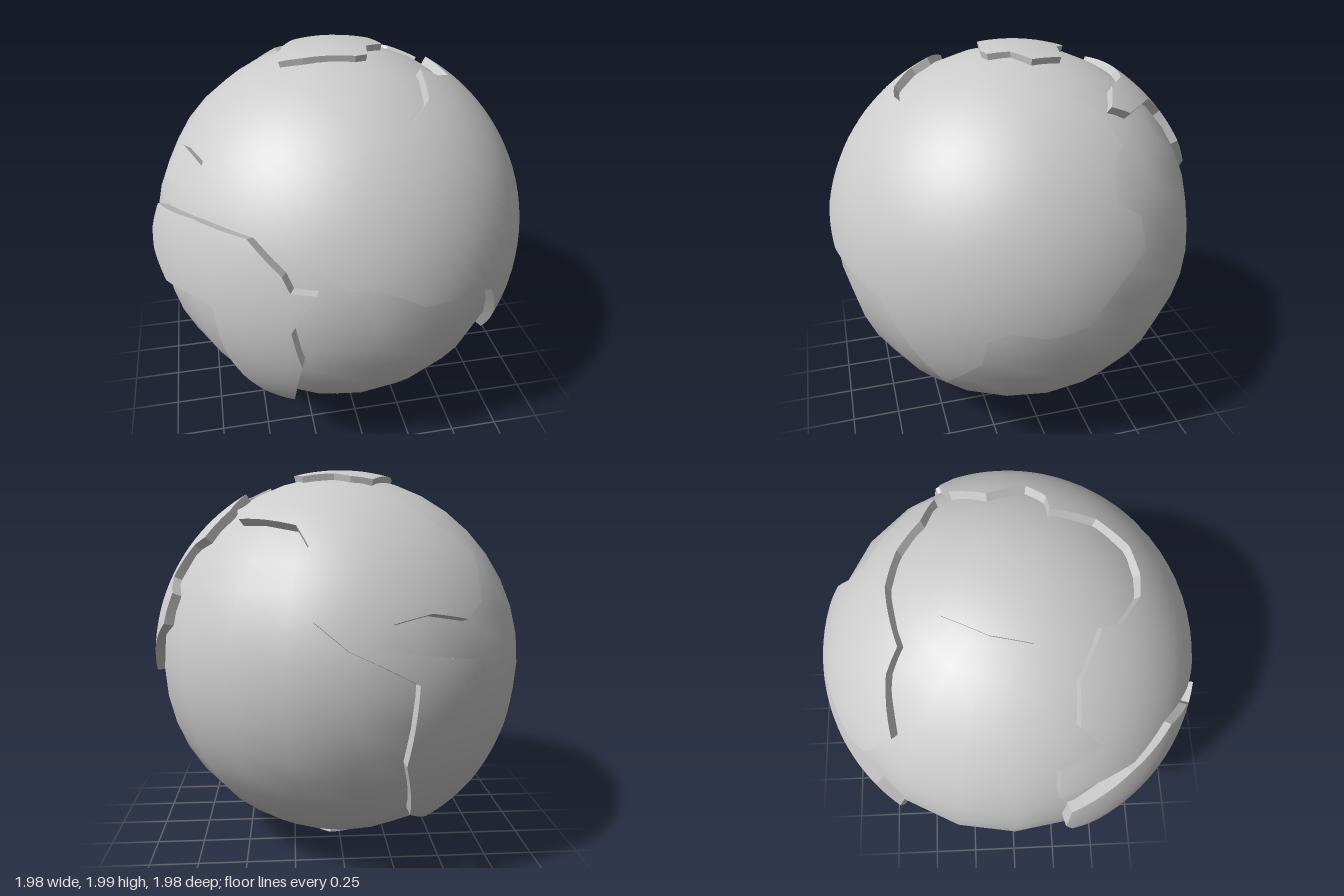
import * as THREE from 'three';
import { mergeGeometries } from 'three/addons/utils/BufferGeometryUtils.js';

const SEA = 0.967, STEPS = 14;
const CENTRE = new THREE.Vector3(-0.015, 0, 0); // globe centre, relative to (0, 1, 0)

// Unit-sphere points from [right, up] pairs on a plate of given radius, seen from an angle in degrees
function seen(azimuth, elevation, radius, pairs) {
  const a = THREE.MathUtils.degToRad(azimuth), e = THREE.MathUtils.degToRad(elevation);
  const right = new THREE.Vector3(Math.cos(a), 0, -Math.sin(a));
  const up = new THREE.Vector3(-Math.sin(a) * Math.sin(e), Math.cos(e), -Math.cos(a) * Math.sin(e));
  const toward = new THREE.Vector3().crossVectors(right, up);
  return pairs.map(([x, y]) => {
    const u = (x - CENTRE.dot(right)) / radius, v = (y - CENTRE.dot(up)) / radius;
    return new THREE.Vector3().addScaledVector(right, u).addScaledVector(up, v)
      .addScaledVector(toward, Math.sqrt(Math.max(0, 1 - u * u - v * v))).normalize();
  });
}
const front = (radius, pairs) => seen(0, 0, radius, pairs.map(([x, y]) => [x, y - 1]));
const side = (radius, pairs) => seen(90, 0, radius, pairs.map(([z, y]) => [-z, y - 1]));
const above = (radius, pairs) => seen(0, 90, radius, pairs.map(([x, z]) => [x, -z]));
const below = (radius, pairs) => seen(0, -90, radius, pairs);

// A raised plate: coastline triangulated in a stereographic plane, wrapped on the sphere, with walls
function landGeometry(coast, radius) {
  const c = coast.reduce((s, p) => s.add(p), new THREE.Vector3()).normalize();
  const e1 = new THREE.Vector3(0.3, 0.2, 1).cross(c).normalize();
  const e2 = new THREE.Vector3().crossVectors(c, e1);
  let ring = coast.map((p) => new THREE.Vector2(p.dot(e1), p.dot(e2)).divideScalar(1 + p.dot(c)));
  if (THREE.ShapeUtils.isClockWise(ring)) ring = ring.reverse();
  const wrap = (q) => {
    const s = q.lengthSq();
    return new THREE.Vector3().addScaledVector(e1, 2 * q.x).addScaledVector(e2, 2 * q.y)
      .addScaledVector(c, 1 - s).divideScalar(1 + s);
  };

  // Curved top
  const top = [], normals = [];
  const put = (p) => {
    normals.push(p.x, p.y, p.z);
    top.push(p.x * radius, p.y * radius, p.z * radius);
  };
  for (const [i, j, k] of THREE.ShapeUtils.triangulateShape(ring, [])) {
    const A = ring[i], B = ring[j].clone().sub(A), C = ring[k].clone().sub(A);
    const at = (m, n) => wrap(A.clone().addScaledVector(B, m / STEPS).addScaledVector(C, n / STEPS));
    for (let m = 0; m < STEPS; m++) {
      for (let n = 0; n < STEPS - m; n++) {
        [at(m, n), at(m + 1, n), at(m, n + 1)].forEach(put);
        if (m + n < STEPS - 1) [at(m + 1, n), at(m + 1, n + 1), at(m, n + 1)].forEach(put);
      }
    }
  }

  // Coast walls down into the sea
  const wall = [];
  ring.forEach((A, i) => {
    const B = ring[(i + 1) % ring.length];
    for (let s = 0; s < STEPS; s++) {
      const a = wrap(A.clone().lerp(B, s / STEPS)), b = wrap(A.clone().lerp(B, (s + 1) / STEPS));
      const lowA = a.clone().multiplyScalar(SEA - 0.03), lowB = b.clone().multiplyScalar(SEA - 0.03);
      a.multiplyScalar(radius);
      b.multiplyScalar(radius);
      for (const p of [lowA, lowB, b, lowA, b, a]) wall.push(p.x, p.y, p.z);
    }
  });

  const topGeometry = new THREE.BufferGeometry();
  topGeometry.setAttribute('position', new THREE.Float32BufferAttribute(top, 3));
  topGeometry.setAttribute('normal', new THREE.Float32BufferAttribute(normals, 3));
  const wallGeometry = new THREE.BufferGeometry();
  wallGeometry.setAttribute('position', new THREE.Float32BufferAttribute(wall, 3));
  wallGeometry.computeVertexNormals();
  return mergeGeometries([topGeometry, wallGeometry]);
}

// Large northern and eastern continent: north coast, east coast to the tip, south coast
function easternCoast(r) {
  const north = above(r, [[-0.87, 0.2], [-0.79, 0.2], [-0.71, 0.42], [-0.63, 0.29], [-0.46, 0.29],
    [-0.23, 0.4], [-0.2, 0.49], [-0.05, 0.6], [0.07, 0.615], [0.22, 0.58], [0.34, 0.43],
    [0.36, 0.21], [0.46, 0.2], [0.54, 0.11], [0.48, -0.08], [0.55, -0.26]]);
  const east = side(r, [[-0.32, 1.66], [-0.26, 1.62], [-0.24, 1.46], [-0.36, 1.39], [-0.38, 1.24],
    [-0.18, 1.06], [-0.09, 0.94], [0.1, 0.9], [0.27, 0.94], [0.37, 0.89], [0.39, 0.74], [0.53, 0.53]]);
  const south = front(r, [[0.59, 1], [0.2, 1.08], [0, 1.2], [-0.15, 1.21], [-0.35, 1.32],
    [-0.54, 1.45], [-0.73, 1.42], [-0.89, 1.45]]);
  return [...north, ...east, ...south];
}

// Continent at the front right: north, east and west coasts
function southernCoast(r) {
  return front(r, [[-0.94, 1.34], [-0.77, 1.4], [-0.55, 1.4], [-0.42, 1.27], [-0.39, 1.2], [-0.28, 1.2],
    [-0.395, 1], [-0.35, 0.78], [-0.37, 0.39], [-0.41, 0.38], [-0.5, 0.42], [-0.6, 0.55], [-0.68, 0.73],
    [-0.725, 1.02], [-0.76, 1.05], [-0.83, 1.04], [-0.94, 1], [-0.99, 1.1], [-0.985, 1.2]]);
}

// Two western lands joined by a narrow neck: north, east and west coasts
function westernCoast(r) {
  const north = above(r, [[0.51, -0.33], [0.36, -0.39], [0.21, -0.5], [0.03, -0.55], [-0.26, -0.49],
    [-0.36, -0.55], [-0.61, -0.55]]);
  const east = seen(215, 25, r, [[0.1, -0.045], [-0.02, -0.12], [-0.21, -0.07], [-0.39, -0.08],
    [-0.49, -0.16], [-0.21, -0.26], [0.19, -0.33], [0.335, -0.4], [0.3, -0.61], [0.21, -0.835]]);
  const west = seen(215, 25, r, [[0.08, -0.975], [-0.14, -0.92], [-0.32, -0.68], [-0.31, -0.355],
    [-0.575, -0.145], [-0.67, 0.02], [-0.67, 0.19], [-0.575, 0.36], [-0.56, 0.485], [-0.655, 0.65]]);
  return [...north, ...east, ...west];
}

// Ice caps
function northCapCoast(r) {
  return above(r, [[-0.31, 0.1], [-0.27, -0.09], [-0.16, -0.3], [-0.05, -0.28], [0.03, -0.22],
    [0.19, -0.19], [0.23, -0.03], [0.13, 0.05], [0.11, 0.16], [0.05, 0.18], [-0.2, 0.14]]);
}
function southCapCoast(r) {
  return below(r, [[0.335, 0.085], [0.295, -0.02], [0.054, -0.277], [-0.085, -0.207], [-0.4, -0.15],
    [-0.35, 0.35], [-0.16, 0.43], [-0.1, 0.5], [0.02, 0.39], [0.22, 0.29]]);
}

export function createModel() {
  const globe = new THREE.Group();
  globe.name = 'globe';
  const material = new THREE.MeshStandardMaterial({ color: 0xcccccc });
  const landMaterial = new THREE.MeshStandardMaterial({ color: 0xcccccc, side: THREE.DoubleSide });

  const add = (name, geometry, mat) => {
    const mesh = new THREE.Mesh(geometry, mat);
    mesh.name = name;
    mesh.position.set(CENTRE.x, 1, CENTRE.z);
    globe.add(mesh);
  };
  const addLand = (name, coast, radius) => add(name, landGeometry(coast(radius), radius), landMaterial);

  add('ocean', new THREE.SphereGeometry(SEA, 20, 20), material);
  addLand('easternContinent', easternCoast, 1.005);
  addLand('southernContinent', southernCoast, 1.02);
  addLand('westernContinent', westernCoast, 1.005);
  addLand('northPolarCap', northCapCoast, 0.997);
  addLand('southPolarCap', southCapCoast, 0.995);
  return globe;
}
